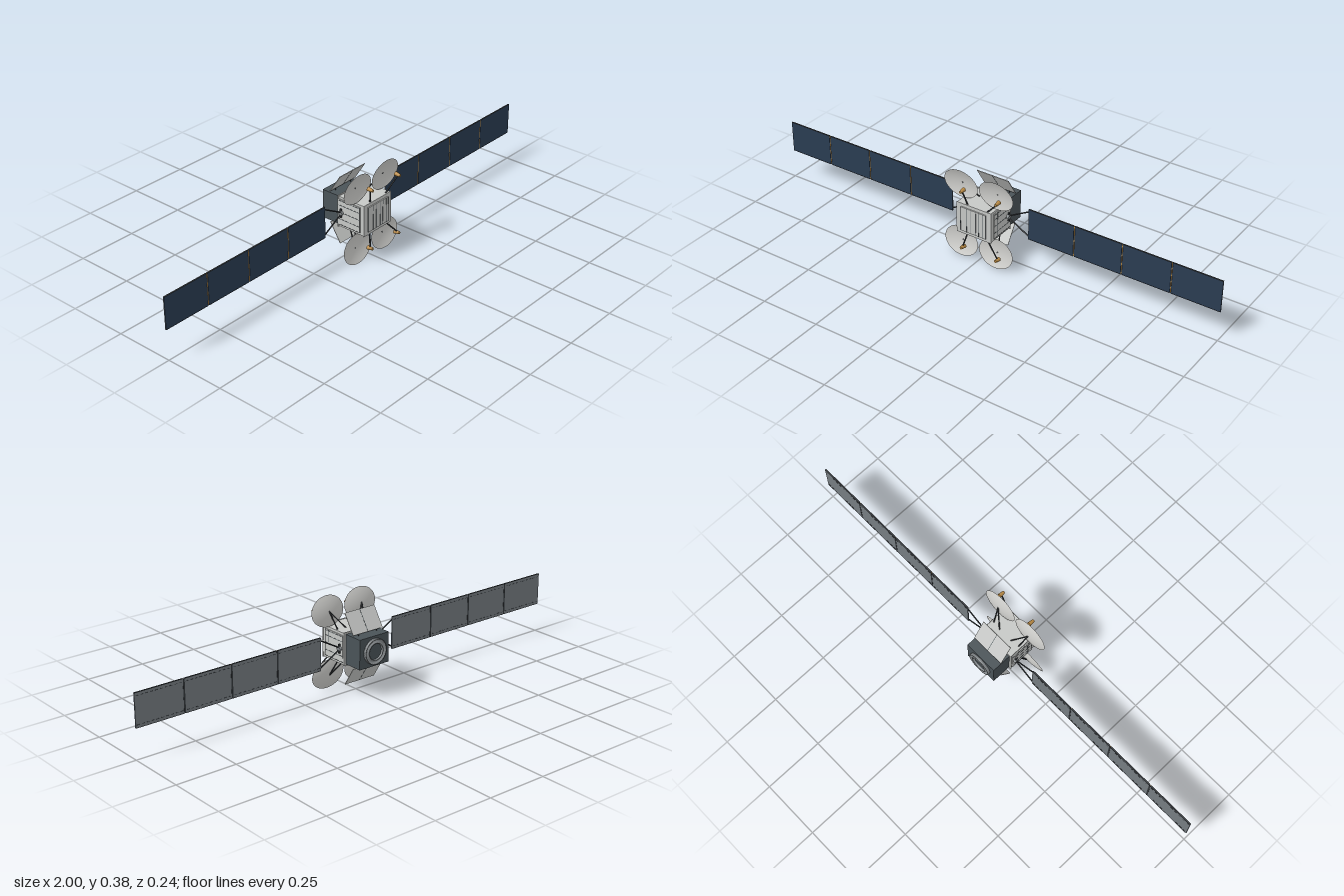
import * as THREE from 'three';

const CY = 0.194; // height of the spacecraft axis
const mat = (name, color) => Object.assign(new THREE.MeshStandardMaterial({ color }), { name });
const silver = mat('silver', 0xc6c8c6);
const dishGrey = mat('dishGrey', 0xcfcfcc);
dishGrey.side = THREE.DoubleSide;
const dark = mat('darkGrey', 0x4a5358);
const black = mat('strutBlack', 0x33373b);
const midGrey = mat('midGrey', 0x8c9194);
const cellBlue = mat('cellBlue', 0x2a3c52);
const backGrey = mat('panelBackGrey', 0x757c81);
const gold = mat('gold', 0xb98a45);

export function createModel() {
  const model = new THREE.Group();
  model.name = 'satellite';

  const add = (name, geo, material, x = 0, y = 0, z = 0) => {
    const m = new THREE.Mesh(geo, material);
    m.name = name;
    m.position.set(x, CY + y, z);
    model.add(m);
    return m;
  };
  const box = (name, material, w, h, d, x, y, z) =>
    add(name, new THREE.BoxGeometry(w, h, d), material, x, y, z);
  // Round bar between two points (y measured from the axis)
  const bar = (name, material, a, b, r1, r2 = r1, sides = 8) => {
    const p = new THREE.Vector3(...a), q = new THREE.Vector3(...b);
    const dir = q.clone().sub(p);
    const mid = p.clone().add(q).multiplyScalar(0.5);
    const m = add(name, new THREE.CylinderGeometry(r2, r1, dir.length(), sides), material, mid.x, mid.y, mid.z);
    m.quaternion.setFromUnitVectors(new THREE.Vector3(0, 1, 0), dir.normalize());
    return m;
  };

  // Main body
  box('body', silver, 0.156, 0.13, 0.128, 0, 0, 0.037);
  box('rearFlange', silver, 0.162, 0.136, 0.005, 0, 0, -0.025);
  box('frontFlange', silver, 0.16, 0.134, 0.004, 0, 0, 0.102);
  box('frontPlate', silver, 0.116, 0.106, 0.005, 0, 0, 0.1065);
  for (const x of [-0.058, -0.03, 0.026, 0.046, 0.058])
    box('frontSeam', dark, 0.002, 0.106, 0.001, x, 0, 0.1092);
  for (const x of [-0.012, 0.012])
    box('frontRib', midGrey, 0.003, 0.1, 0.001, x, 0, 0.1092);

  // Equipment section and thruster ring at the back
  box('rearSection', dark, 0.144, 0.122, 0.084, 0, 0, -0.068);
  const ringProfile = [[0.036, 0], [0.052, 0], [0.052, 0.011], [0.048, 0.011], [0.046, 0.006], [0.04, 0.006], [0.036, 0.011], [0.033, 0.011], [0.033, 0]]
    .map(([r, h]) => new THREE.Vector2(r, h));
  add('adapterRing', new THREE.LatheGeometry(ringProfile, 40).rotateX(-Math.PI / 2), Object.assign(midGrey, { side: THREE.DoubleSide }), 0, 0, -0.11);
  add('ringFloor', new THREE.CylinderGeometry(0.034, 0.034, 0.003, 32).rotateX(Math.PI / 2), dark, 0, 0, -0.111);

  for (const s of [-1, 1]) {
    // Side equipment panel with seams
    box('sidePanel', silver, 0.005, 0.11, 0.106, s * 0.0795, 0, 0.032);
    for (const y of [-0.054, -0.03, 0, 0.03, 0.05])
      box('sideSeam', dark, 0.001, 0.0016, 0.106, s * 0.0822, y, 0.032);
    for (const z of [0.084, 0.062])
      box('sideSeam', dark, 0.001, 0.11, 0.0016, s * 0.0822, 0, z);

    // Solar wing: hub, yoke and four panels
    const zw = -0.006;
    bar('wingHub', midGrey, [s * 0.076, 0, zw], [s * 0.092, 0, zw], 0.01, 0.01, 20);
    for (const t of [-1, 1]) {
      bar('yokeArm', black, [s * 0.09, t * 0.006, zw], [s * 0.178, t * 0.055, zw], 0.0028);
      box('yokeBracket', black, 0.006, 0.02, 0.006, s * 0.087, t * 0.009, zw);
    }
    for (let i = 0; i < 4; i++) {
      const w = 0.2015, x = s * (0.178 + i * 0.2065 + w / 2);
      box('panelBack', backGrey, w, 0.132, 0.003, x, 0, zw - 0.0012);
      box('panelCells', cellBlue, w, 0.132, 0.002, x, 0, zw + 0.0013);
      for (const t of [-1, 1]) {
        box('panelEdge', black, w, 0.0015, 0.006, x, t * 0.0665, zw);
        for (let k = 0; k < 10; k++)
          box('panelDash', black, 0.011, 0.0016, 0.0008, x + (k - 4.5) * 0.02, t * 0.055, zw - 0.003);
      }
      if (i < 3) {
        const xh = s * (0.178 + (i + 1) * 0.2065 - 0.0025);
        box('hingeBack', black, 0.007, 0.132, 0.002, xh, 0, zw - 0.0025);
        box('hingeFront', gold, 0.0025, 0.132, 0.002, xh, 0, zw + 0.001);
      }
    }
  }

  // Shallow reflector bowl, opening along +z
  const dishProfile = [];
  for (let i = 0; i <= 8; i++) dishProfile.push(new THREE.Vector2(i / 8, (i / 8) ** 2));

  for (const t of [-1, 1]) {
    for (const s of [-1, 1]) {
      const dx = s * 0.0805, dy = t * 0.1305;
      const bowl = new THREE.LatheGeometry(dishProfile, 40).rotateX(Math.PI / 2).scale(0.0775, 0.0625, 0.0115);
      add('dish', bowl, dishGrey, dx, dy, 0.061).rotation.x = t * 0.12;
      add('dishHub', new THREE.SphereGeometry(0.0025, 10, 8), midGrey, dx, dy, 0.0615);
      // Struts holding the dish from the body
      bar('dishStrut', black, [s * 0.03, t * 0.062, 0.02], [dx, dy, 0.06], 0.0026);
      bar('dishStrut', black, [s * 0.068, t * 0.062, 0.025], [dx, dy, 0.06], 0.0026);

      // Feed horn on its boom
      const fx = dx + 0.032, fy = t * 0.128;
      bar('feedBoom', black, [s < 0 ? -0.034 : 0.058, t * 0.064, 0.095], [fx, fy - t * 0.005, 0.109], 0.003);
      bar('feedHorn', gold, [fx, fy - t * 0.002, 0.122], [fx, fy, 0.098], 0.0055, 0.0088, 16);
    }

    // Tilted radiator flap with a centre seam
    const len = Math.hypot(0.078, 0.05), ang = t * Math.atan2(0.05, 0.078);
    const flap = new THREE.Group();
    flap.name = 'radiatorFlap';
    flap.position.set(0, CY + t * 0.107, -0.047);
    flap.rotation.x = ang;
    const plate = new THREE.Mesh(new THREE.BoxGeometry(0.146, len, 0.0025), silver);
    plate.name = 'flapPlate';
    const seam = new THREE.Mesh(new THREE.BoxGeometry(0.002, len, 0.0035), dark);
    seam.name = 'flapSeam';
    flap.add(plate, seam);
    model.add(flap);
    for (const s of [-1, 1])
      bar('flapHinge', black, [s * 0.045, t * 0.058, -0.07], [s * 0.045, t * 0.07, -0.07], 0.002);
  }
  return model;
}
